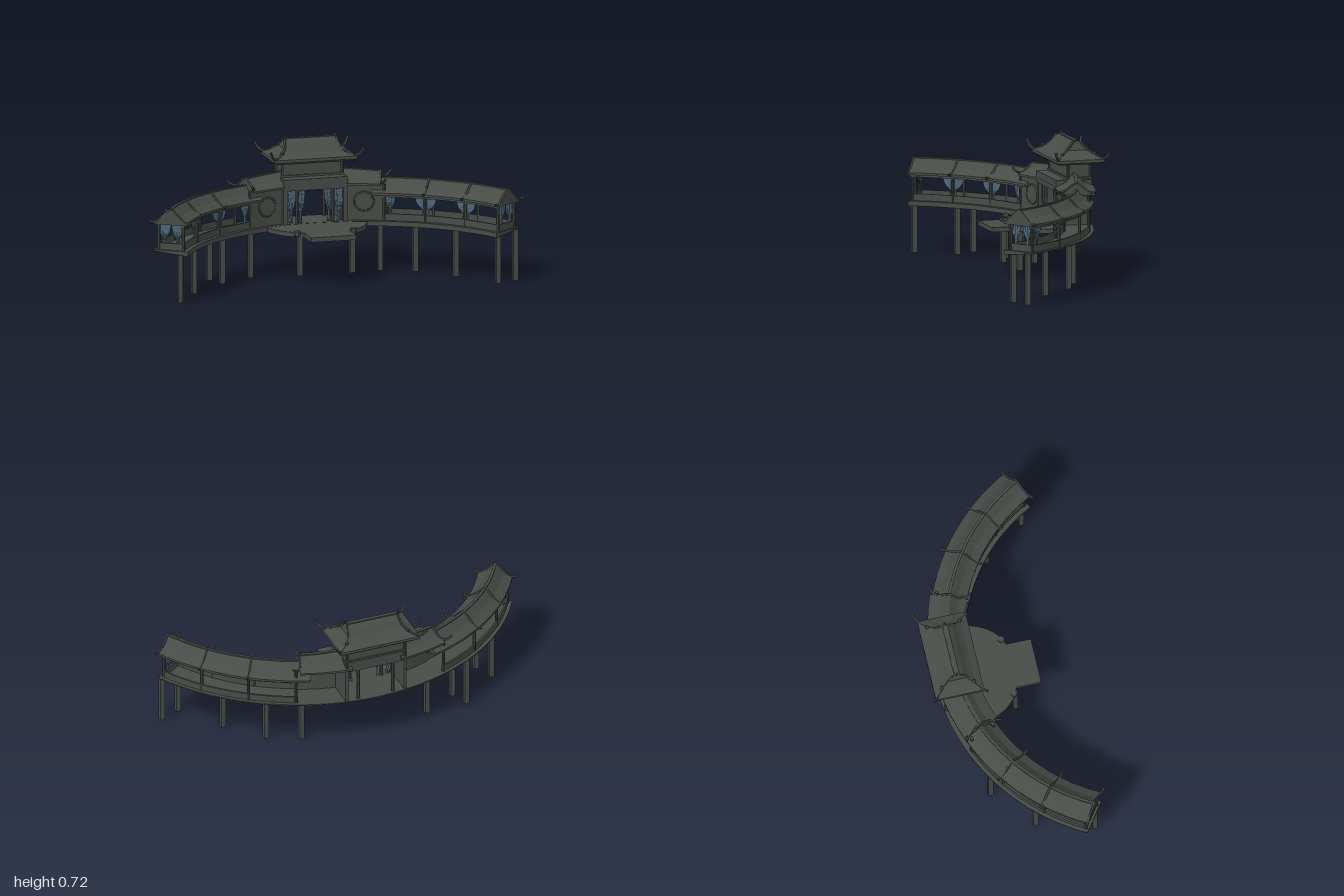
import * as THREE from 'three';

const timber = new THREE.MeshStandardMaterial({ color: 0x474c47, flatShading: true });
timber.name = 'grey timber';
const cloth = new THREE.MeshStandardMaterial({ color: 0x4c6675, side: THREE.DoubleSide });
cloth.name = 'blue cloth';

const R = 1.015, CZ = 0.79;            // corridor arc: radius and centre
const rad = THREE.MathUtils.degToRad;
const RIBS = [22, 35, 48.6, 62.1];     // frame positions along each arm, degrees

// point on the arc; the far ends are cut slightly askew
function at(r, deg, y) {
  const t = rad(deg * (1 + 0.12 * (R - r) * (deg / 62) ** 4));
  return new THREE.Vector3(r * Math.sin(t), y, CZ - r * Math.cos(t));
}

// skin a row of matching rings and close both ends
function loft(rings, caps) {
  const n = rings[0].length, last = (rings.length - 1) * n, idx = [];
  for (let k = 0; k < rings.length - 1; k++) {
    for (let i = 0; i < n; i++) {
      const a = k * n + i, b = k * n + (i + 1) % n;
      idx.push(a, b, b + n, a, b + n, a + n);
    }
  }
  for (const [a, b, c] of caps) idx.push(a, c, b, last + a, last + b, last + c);
  const g = new THREE.BufferGeometry().setFromPoints(rings.flat());
  g.setIndex(idx);
  g.computeVertexNormals();
  return g;
}

// sweep a counter-clockwise (radius, height) profile along the arc, blending it into a second one
function sweep(from, to, profile, endProfile = profile) {
  const steps = Math.max(2, Math.round((to - from) / 3.3)), rings = [];
  for (let k = 0; k <= steps; k++) {
    const f = k / steps, t = from + (to - from) * f;
    rings.push(profile.map(([r, y], i) => at(r + (endProfile[i][0] - r) * f, t, y + (endProfile[i][1] - y) * f)));
  }
  const flat = profile.map(([r, y]) => new THREE.Vector2(r, y));
  return loft(rings, THREE.ShapeUtils.triangulateShape(flat, []));
}
const rect = (r0, r1, y0, y1) => [[r0, y0], [r1, y0], [r1, y1], [r0, y1]];

function tube(points, radius) {
  const curve = new THREE.CatmullRomCurve3(points);
  return new THREE.TubeGeometry(curve, 14, radius, 5);
}

// gathered curtain, tied below the middle, with soft folds
function curtainGeometry(top, bottom, half) {
  const g = new THREE.PlaneGeometry(2, 1, 12, 10), p = g.attributes.position;
  const w = new THREE.CatmullRomCurve3([[0, .42], [.14, .32], [.28, .27], [.4, .45], [.6, .8], [.85, .95], [1, 1]]
    .map(([y, x]) => new THREE.Vector3(x, y, 0)));
  for (let i = 0; i < p.count; i++) {
    const u = p.getX(i), c = w.getPoint(p.getY(i) + 0.5);
    p.setXYZ(i, u * c.x * half, bottom + (top - bottom) * c.y, 0.004 * Math.cos(u * 14));
  }
  g.computeVertexNormals();
  return g;
}

export function createModel() {
  const model = new THREE.Group();
  model.name = 'curvedPavilion';
  const add = (name, geo, mat = timber) => {
    const m = new THREE.Mesh(geo, mat);
    m.name = name;
    model.add(m);
    return m;
  };
  const box = (name, x0, x1, y0, y1, z0, z1) => add(name, new THREE.BoxGeometry(x1 - x0, y1 - y0, z1 - z0))
    .position.set((x0 + x1) / 2, (y0 + y1) / 2, (z0 + z1) / 2);
  const post = (name, x, z, y0, y1, r) => add(name, new THREE.CylinderGeometry(r, r, y1 - y0, 8))
    .position.set(x, (y0 + y1) / 2, z);
  // set a mesh on the arc with its x axis along the walk
  const place = (m, r, deg, y = 0) => {
    m.position.copy(at(r, deg, y));
    m.rotation.y = -rad(deg);
    return m;
  };

  // curved floor
  add('floor', sweep(-62.2, 62.2, [[R - .094, .245], [R + .09, .263], [R + .09, .27], [R - .094, .27]]));

  // front terrace with a square landing
  const s = new THREE.Shape();
  s.moveTo(-.12, -.215);
  s.lineTo(.12, -.215);
  s.lineTo(.12, -.085);
  s.bezierCurveTo(.2, -.06, .27, .02, .28, .2);
  s.lineTo(-.28, .2);
  s.bezierCurveTo(-.27, .02, -.2, -.06, -.12, -.085);
  const terrace = new THREE.ExtrudeGeometry(s, { depth: .024, bevelEnabled: false, curveSegments: 8 });
  add('terrace', terrace.rotateX(-Math.PI / 2)).position.y = .245;

  // sloping solid roof profile and the curved rib that trims it
  const roofProfile = (h, y, rise = 1) => [[-h, 0], [h, 0], [h, .012], [.045, .038], [.012, .073],
    [0, .078], [-.012, .073], [-.045, .038], [-h, .012]].map(([o, dy]) => [R + o, y + dy * rise]);
  const rib = (deg, y, h, flare, lift, rise) => [-1, 1].forEach(d => add('roofRib', tube(
    [[0, .08 * rise, 0], [.02, .066 * rise, 0], [.05, .036 * rise, 0], [h - .005, .014, .2],
      [h + .018, .013 + lift / 2, .6], [h + .03, .024 + lift, 1]]
      .map(([o, dy, f]) => at(R + d * o, deg + f * flare, y + dy)), .0065)));

  const curtain = curtainGeometry(.402, .3, .06);
  for (const side of [-1, 1]) {
    const span = (name, a, b, profile, endProfile = profile) => add(name,
      side > 0 ? sweep(a, b, profile, endProfile) : sweep(-b, -a, endProfile, profile));

    // gallery roof, beams and parapets
    span('galleryRoof', 18, 62.4, roofProfile(.09, .404));
    span('ridge', 20, 62.4, rect(R - .007, R + .007, .476, .486));
    for (const o of [-.066, .066]) {
      span('eaveBeam', 21, 61.8, rect(R + o - .008, R + o + .008, .392, .406));
      span('parapet', 21.5, 61.4, rect(R + o - .005, R + o + .005, .268, .305));
    }
    span('endParapet', 60.8, 61.4, rect(R - .066, R + .066, .268, .305));

    // frames: columns, ribs and curtains on the inner side
    RIBS.forEach((deg, i) => {
      const end = i === 3;
      for (const o of [-.066, .066]) {
        const p = at(R + o, side * (end ? 61.2 : deg), 0);
        post('column', p.x, p.z, .265, i ? .406 : .46, .009);
      }
      if (i) rib(side * deg, .404, .085, end ? side * .5 : 0, 0, 1);
      if (i && !end) place(add('innerCurtain', curtain, cloth), R - .058, side * deg);
    });
    place(add('wingCurtain', curtainGeometry(.402, .3, .027), cloth), R - .06, side * 23.9);
    for (const o of [-.036, .036]) {
      const c = add('endCurtain', curtainGeometry(.402, .3, .034), cloth);
      place(c, R + o, side * 60.9).rotation.y += Math.PI / 2;
    }

    // wing beside the gate: raised roof falling outwards, wall and round window
    span('wingRoof', 7, 21, roofProfile(.1, .458), roofProfile(.1, .456, .76));
    span('wingRidge', 7, 21, rect(R - .008, R + .008, .526, .538), rect(R - .008, R + .008, .508, .519));
    rib(side * 20.8, .456, .08, side * 2.2, .018, .78);
    span('wingWall', 9, 21.8, rect(.945, .96, .268, .46));
    const ring = add('roundWindowFrame', new THREE.TorusGeometry(.048, .006, 6, 24));
    place(ring, .943, side * 15.8, .37);
    const disc = add('roundWindowPanel', new THREE.CylinderGeometry(.044, .044, .008, 24).rotateX(Math.PI / 2));
    place(disc, .943, side * 15.8, .37);

    // gate side walls, columns and curtains
    const x = side * .16;
    box('gateSideWall', x - .007, x + .007, .268, .5, -.3, -.14);
    box('gatePilaster', x - .011, x + .011, .268, .47, -.14, -.118);
    for (const z of [-.13, -.29]) post('gateColumn', side * .095, z, .268, .47, .009);
    for (const [cx, half] of [[.128, .03], [.076, .026]]) {
      add('gateCurtain', curtainGeometry(.445, .275, half), cloth).position.set(side * cx, 0, -.135);
    }

    // scroll stones at the landing corners
    post('scrollStone', side * .15, .065, .25, .275, .018);
    box('terracePier', side * .14 - .013, side * .14 + .013, .045, .25, .06, .086);
  }

  // gate lintels and upper storey
  box('frontLintel', -.17, .17, .445, .47, -.145, -.115);
  box('backLintel', -.165, .165, .445, .47, -.3, -.28);
  box('gateCanopy', -.17, .17, .47, .505, -.18, -.112);
  box('upperStorey', -.155, .155, .47, .59, -.3, -.18);
  box('upperSill', -.165, .165, .505, .515, -.307, -.172);
  for (const x of [-.158, .158]) for (const z of [-.3, -.18]) post('upperCorner', x, z, .47, .58, .008);

  // hip-and-gable tower roof, flared at the corners
  const TZ = -.232;
  const ringAt = ([hx, hz, y]) => [[-1, 1], [1, 1], [1, -1], [-1, -1]]
    .map(([a, b]) => new THREE.Vector3(a * hx, y, TZ + b * hz));
  add('towerRoof', loft([[.195, .112, .584], [.22, .127, .596], [.218, .126, .61], [.18, .088, .628], [.148, .06, .652],
    [.14, .036, .68], [.137, .014, .697]].map(ringAt), [[0, 1, 2], [0, 2, 3]]));
  box('towerRidge', -.14, .14, .69, .701, TZ - .01, TZ + .01);
  for (const a of [-1, 1]) {
    add('ridgeHorn', tube([[.11, .694], [.13, .698], [.142, .706], [.147, .717]]
      .map(([x, y]) => new THREE.Vector3(a * x, y, TZ)), .005));
    for (const b of [-1, 1]) {
      add('hipRib', tube([[.138, .02, .695], [.144, .05, .66], [.165, .078, .634], [.21, .12, .613],
        [.232, .134, .626], [.242, .142, .644], [.25, .146, .662]]
        .map(([x, z, y]) => new THREE.Vector3(a * x, y, TZ + b * z)), .007));
      const knob = add('hipKnob', new THREE.SphereGeometry(.01, 8, 6));
      knob.position.set(a * .168, .636, TZ + b * .085);
    }
  }

  // square piers under the floor
  const piers = [[.945, .283], [.84, .327], [.68, .107], [.515, -.07], [.35, -.145],
    [-.85, .327], [-.765, .037], [-.72, .137], [-.555, -.15], [-.515, -.055], [-.335, -.155]];
  for (const [x, z] of piers) box('pier', x - .013, x + .013, 0, .265, z - .013, z + .013);

  return model;
}
